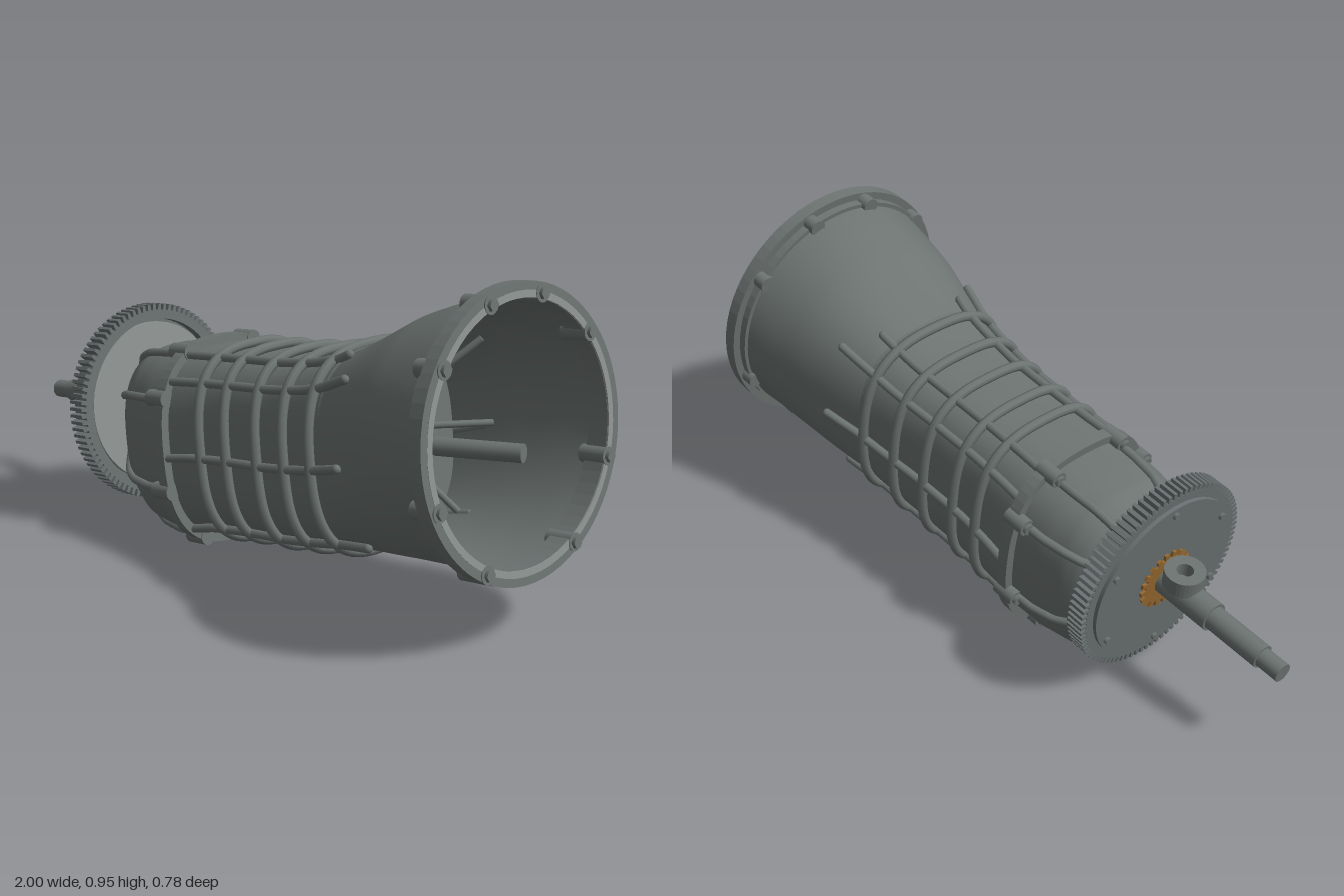
import * as THREE from 'three';

const casing = new THREE.MeshStandardMaterial({ color: 0x6c7371, side: THREE.DoubleSide });
casing.name = 'casing grey';
const steel = new THREE.MeshStandardMaterial({ color: 0x6a7071 });
steel.name = 'steel grey';
const machined = new THREE.MeshStandardMaterial({ color: 0x8f9593 });
machined.name = 'machined light grey';
const brass = new THREE.MeshStandardMaterial({ color: 0x94682f });
brass.name = 'brass';

const TILT = 0.122, AXIS = 0.413, BELL = 0.446, BULKHEAD = 0.53;

// Casing sections along the axis: position, top, bottom, half width, squareness
const ROWS = [
  [-0.45, 0.49, 0.33, 0.07, 2], [-0.425, 0.525, 0.24, 0.13, 2.2], [-0.405, 0.555, 0.155, 0.165, 2.4],
  [-0.375, 0.585, 0.092, 0.197, 2.6], [-0.33, 0.603, 0.062, 0.217, 2.7], [-0.25, 0.61, 0.047, 0.232, 2.7],
  [-0.145, 0.614, 0.046, 0.237, 2.7], [-0.05, 0.612, 0.064, 0.227, 2.8], [0.075, 0.609, 0.074, 0.218, 3],
  [0.277, 0.611, 0.077, 0.222, 3], [0.4, 0.622, 0.087, 0.238, 2.9], [0.5, 0.643, 0.094, 0.253, 2.7],
  [0.608, 0.686, 0.096, 0.284, 2.5], [0.747, 0.752, 0.093, 0.32, 2.2], [0.88, 0.79, 0.087, 0.347, 2],
  [0.98, 0.806, 0.084, 0.36, 2],
];

function section(u) {
  let i = 0;
  while (i < ROWS.length - 2 && u > ROWS[i + 1][0]) i++;
  const f = (u - ROWS[i][0]) / (ROWS[i + 1][0] - ROWS[i][0]);
  return ROWS[i].map((a, k) => a + (ROWS[i + 1][k] - a) * f);
}

// Point on the casing at axial position u and angle a, pushed outward
function onCasing(u, a, out = 0) {
  const [, top, bot, w, n] = section(u);
  const c = Math.cos(a), s = Math.sin(a);
  const r = Math.pow(Math.abs(c) ** n + Math.abs(s) ** n, -1 / n);
  return new THREE.Vector3(u, (top + bot) / 2 + ((top - bot) / 2 * r + out) * s, (w * r + out) * c);
}

// Angle in degrees on the +z side, mirrored for s = -1
const sideAngle = (d, s) => (s > 0 ? d : 180 - d) * Math.PI / 180;

function add(parent, name, geo, mat = casing) {
  const m = new THREE.Mesh(geo, mat);
  m.name = name;
  parent.add(m);
}

// Cylinder along the axis from u0 to u1
function rod(u0, u1, r, v, z = 0, sides = 24) {
  return new THREE.CylinderGeometry(r, r, u1 - u0, sides).rotateZ(-Math.PI / 2).translate((u0 + u1) / 2, v, z);
}

// Flat outline with holes, thickened along the axis
function plate(points, holes, u, depth) {
  const shape = new THREE.Shape(points);
  shape.holes = holes.map((h) => new THREE.Path(h));
  return new THREE.ExtrudeGeometry(shape, { depth, bevelEnabled: false })
    .rotateY(Math.PI / 2).translate(u, 0, 0);
}

const circle = (r, v, n = 64) => Array.from({ length: n }, (_, i) => {
  const a = i / n * Math.PI * 2;
  return new THREE.Vector2(r * Math.cos(a), v + r * Math.sin(a));
});

// Toothed outline around the shaft axis
function toothed(count, inner, outer) {
  const pts = [];
  for (let i = 0; i < count; i++) for (const [f, r] of [[0, inner], [0.35, inner], [0.45, outer], [0.9, outer]]) {
    const a = (i + f) / count * Math.PI * 2;
    pts.push(new THREE.Vector2(r * Math.cos(a), AXIS + r * Math.sin(a)));
  }
  return pts;
}

const outline = (u, out) => Array.from({ length: 72 }, (_, i) => {
  const p = onCasing(u, i / 72 * Math.PI * 2, out);
  return new THREE.Vector2(p.z, p.y);
});

function tube(points, r, closed = false) {
  return new THREE.TubeGeometry(new THREE.CatmullRomCurve3(points, closed), points.length * 2, r, 8, closed);
}

// Straight bar between two points
function bar(a, b, r) {
  const d = b.clone().sub(a);
  const q = new THREE.Quaternion().setFromUnitVectors(new THREE.Vector3(0, 1, 0), d.clone().normalize());
  return new THREE.CylinderGeometry(r, r, d.length(), 20).applyQuaternion(q)
    .translate((a.x + b.x) / 2, (a.y + b.y) / 2, (a.z + b.z) / 2);
}

function shellGeometry(steps = 64, n = 72) {
  const pos = [], idx = [];
  for (let i = 0; i <= steps; i++) {
    // dense steps around the rounded rear end
    const u = -0.45 + 1.43 * Math.pow(i / steps, 1.4);
    for (let j = 0; j < n; j++) pos.push(...onCasing(u, j / n * Math.PI * 2).toArray());
  }
  for (let i = 0; i < steps; i++) for (let j = 0; j < n; j++) {
    const k = (j + 1) % n, a = i * n + j, b = a + n, c = i * n + k, d = c + n;
    idx.push(a, b, c, b, d, c);
  }
  const g = new THREE.BufferGeometry();
  g.setAttribute('position', new THREE.Float32BufferAttribute(pos, 3));
  g.setIndex(idx);
  g.computeVertexNormals();
  return g;
}

export function createModel() {
  const model = new THREE.Group();
  model.name = 'gearbox';
  const g = new THREE.Group();
  g.name = 'tiltedAssembly';
  g.rotation.z = TILT;
  model.add(g);

  add(g, 'casingShell', shellGeometry());

  // Mouth flange with a light machined face and bolts
  add(g, 'mouthFlange', plate(circle(0.389, BELL), [circle(0.364, BELL)], 0.965, 0.04));
  add(g, 'mouthLip', plate(circle(0.366, BELL), [circle(0.346, BELL)], 0.94, 0.062));
  add(g, 'mouthFace', plate(circle(0.366, BELL), [circle(0.347, BELL)], 1.002, 0.004), machined);
  for (const s of [-1, 1]) for (const [z, v] of [[0.1, 0.347], [0.285, 0.217], [0.335, -0.126], [0.175, -0.323]]) {
    add(g, 'mouthBoss', rod(0.925, 1.008, 0.025, BELL + v, s * z));
    add(g, 'mouthBolt', rod(1.008, 1.018, 0.017, BELL + v, s * z, 6));
  }

  // Inner bulkhead with shaft holes, bearing wall behind it
  add(g, 'bulkhead', plate(outline(BULKHEAD, -0.004),
    [circle(0.085, 0.417), circle(0.062, 0.239)], BULKHEAD - 0.02, 0.02));
  add(g, 'bearingWall', plate(circle(0.16, 0.362), [circle(0.052, 0.338)], 0.09, 0.015));
  for (const s of [-1, 1]) for (const [z0, v0, z1, v1, du] of [
    [0.07, 0.075, 0.21, 0.225, 0.17], [0.1, -0.01, 0.28, -0.025, 0.13], [0.045, -0.09, 0.145, -0.25, 0.1]]) {
    add(g, 'bulkheadStrut', bar(new THREE.Vector3(BULKHEAD + 0.004, 0.415 + v0, s * z0),
      new THREE.Vector3(BULKHEAD + du, 0.415 + v1, s * z1), 0.01));
  }
  add(g, 'releaseRod', bar(new THREE.Vector3(0.51, 0.33, -0.18), new THREE.Vector3(0.77, 0.315, -0.272), 0.027));

  // Ribs around and along the casing
  for (const u of [0.008, 0.112, 0.242, 0.364, 0.486]) {
    const ring = Array.from({ length: 48 }, (_, i) => onCasing(u, i / 48 * Math.PI * 2, 0.012));
    add(g, 'ringRib', tube(ring, 0.015, true));
  }
  for (const s of [1, -1]) {
    for (const [d, end] of [[60, 0.55], [40, 0.62], [-3, 0.62], [-50, 0.62]]) {
      const line = Array.from({ length: 16 }, (_, i) =>
        onCasing(-0.145 + (end + 0.145) * i / 15, sideAngle(d, s), 0.009));
      add(g, 'longRib', tube(line, 0.013));
      add(g, 'longRibEnd', new THREE.SphereGeometry(0.013, 10, 8).translate(...line[15].toArray()));
    }
    // Rear cover ribs run into the joint bosses
    for (const d of [62, 30, -22, -62]) {
      const a = sideAngle(d, s);
      const rear = Array.from({ length: 12 }, (_, i) => onCasing(-0.145 - 0.275 * i / 11, a, 0.005));
      add(g, 'rearCoverRib', tube(rear, 0.013));
      const b = onCasing(-0.145, a, 0.012);
      add(g, 'jointBoss', rod(-0.195, -0.122, 0.025, b.y, b.z));
      add(g, 'jointBolt', rod(-0.205, -0.195, 0.017, b.y, b.z, 6));
    }
  }

  // Joint between main casing and rear cover
  add(g, 'jointFlange', plate(outline(-0.145, 0.024), [outline(-0.145, -0.004)], -0.162, 0.037));

  // Toothed ring and flex plate
  add(g, 'ringGear', plate(toothed(90, 0.282, 0.301), [circle(0.255, AXIS)], -0.502, 0.056), steel);
  add(g, 'flexPlate', rod(-0.514, -0.475, 0.257, AXIS, 0, 64), steel);
  add(g, 'innerDisc', rod(-0.475, -0.458, 0.245, AXIS, 0, 64), machined);
  for (let i = 0; i < 6; i++) {
    const a = (i + 0.5) / 6 * Math.PI * 2;
    add(g, 'plateBolt', rod(-0.524, -0.51, 0.011, AXIS + 0.235 * Math.sin(a), 0.235 * Math.cos(a), 6));
  }
  add(g, 'hubGear', plate(toothed(20, 0.078, 0.095), [], -0.522, 0.02), brass);

  // Stepped shaft and its eye
  add(g, 'shaftTip', rod(-0.957, -0.88, 0.028, AXIS));
  add(g, 'shaftMiddle', rod(-0.885, -0.7, 0.035, AXIS));
  add(g, 'shaftRoot', rod(-0.705, -0.44, 0.043, AXIS));
  add(g, 'innerShaft', rod(-0.44, 0.12, 0.033, AXIS));
  add(g, 'innerShaftNut', rod(0.12, 0.135, 0.02, AXIS, 0, 6));
  add(g, 'innerGear', rod(0.05, 0.075, 0.045, AXIS), brass);
  add(g, 'crossRoller', new THREE.CylinderGeometry(0.02, 0.02, 0.1, 20).rotateX(Math.PI / 2).translate(0.12, 0.295, 0));
  add(g, 'crossRollerShoe', new THREE.BoxGeometry(0.03, 0.008, 0.08).translate(0.12, 0.273, 0), brass);
  const eye = [[0.024, -0.026], [0.058, -0.026], [0.058, 0.024], [0.024, 0.024], [0.024, -0.026]]
    .map(([x, y]) => new THREE.Vector2(x, y));
  const eyeGeo = new THREE.LatheGeometry(eye, 32).toNonIndexed();
  eyeGeo.computeVertexNormals();
  add(g, 'shaftEye', eyeGeo.translate(-0.581, 0.47, 0));
  return model;
}
